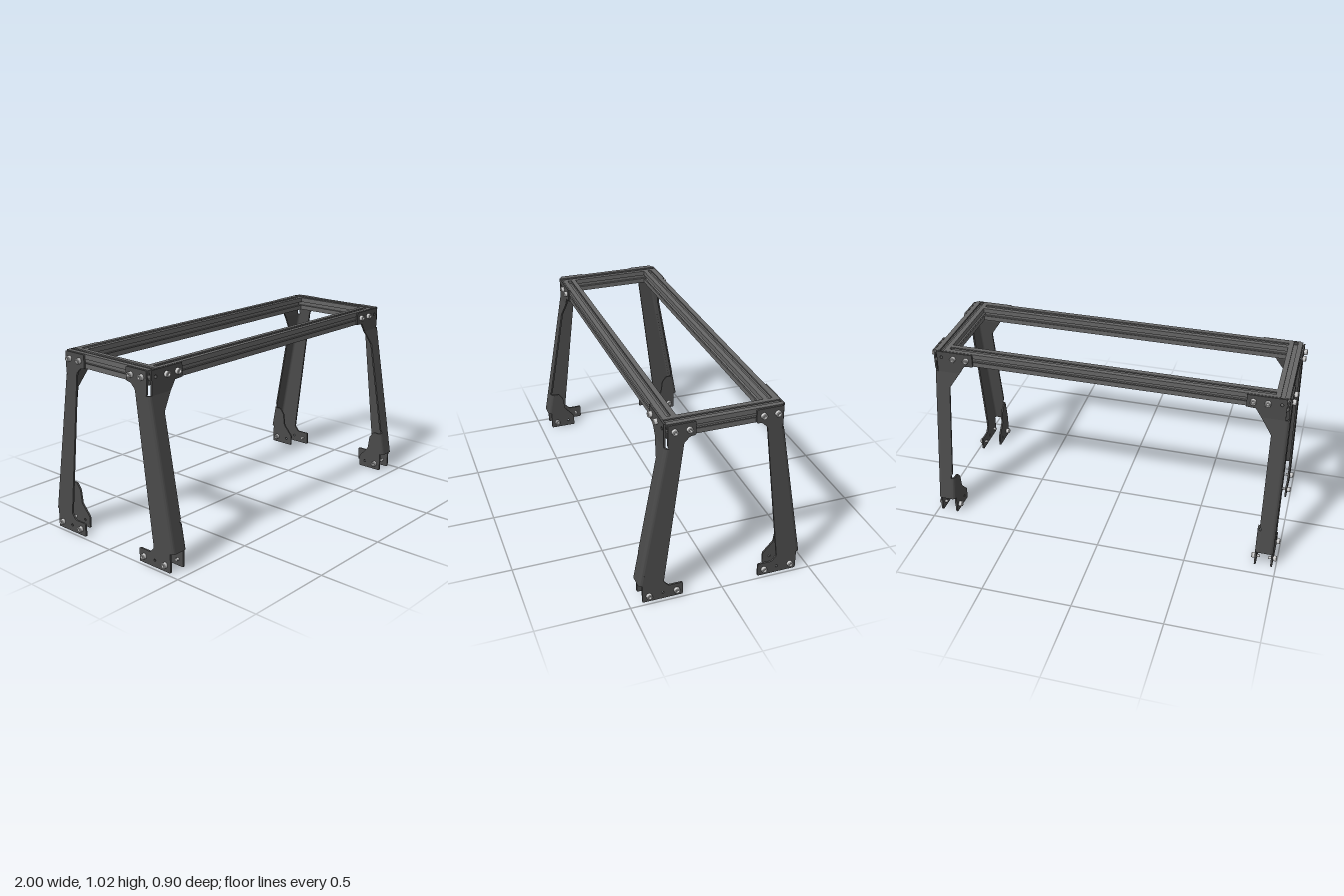
import * as THREE from 'three';
import { toCreasedNormals } from 'three/addons/utils/BufferGeometryUtils.js';

const T = 0.01;        // sheet thickness
const BAR_Y = 0.98;    // height of the bar centres
const BEND_Y = 0.89;   // leg tilts outward below this height
const FOOT_Y = 0.105;  // lower end of the front flange
const R = 0.02;        // outer radius of the sheet bends

const sheetMat = new THREE.MeshStandardMaterial({ color: 0x4a4a4a });
const barMat = new THREE.MeshStandardMaterial({ color: 0x666666 });
const boltMat = new THREE.MeshStandardMaterial({ color: 0xcccccc });

function mesh(name, geometry, material) {
  const m = new THREE.Mesh(toCreasedNormals(geometry, 0.6), material);
  m.name = name;
  return m;
}

// Outline with each corner softened by radius r
function roundedShape(points, r) {
  const p = points.map(([x, y]) => new THREE.Vector2(x, y));
  const shape = new THREE.Shape();
  p.forEach((c, i) => {
    const toward = (q) => c.clone().add(q.clone().sub(c).setLength(Math.min(r, q.distanceTo(c) * 0.4)));
    const a = toward(p[(i + p.length - 1) % p.length]);
    const b = toward(p[(i + 1) % p.length]);
    if (i === 0) shape.moveTo(a.x, a.y); else shape.lineTo(a.x, a.y);
    shape.quadraticCurveTo(c.x, c.y, b.x, b.y);
  });
  return shape;
}

function sheet(points, { r = 0.0005, holes = [], depth = T } = {}) {
  const shape = roundedShape(points, r);
  for (const [x, y, radius] of holes) {
    shape.holes.push(new THREE.Path().absarc(x, y, radius, 0, Math.PI * 2, true));
  }
  return new THREE.ExtrudeGeometry(shape, { depth, bevelEnabled: false, curveSegments: 6 });
}

// Sheet drawn in (z, y), with its outer face at x
function sideSheet(points, x, options) {
  return sheet(points, options).rotateY(-Math.PI / 2).translate(x, 0, 0);
}

// Front face of the leg at height y; lean() shears a geometry to follow it
const frontZ = (y) => 0.31 + Math.max(0, BEND_Y - y) * 0.178;
function lean(geometry) {
  const pos = geometry.attributes.position;
  for (let i = 0; i < pos.count; i++) pos.setZ(i, pos.getZ(i) + frontZ(pos.getY(i)));
  return geometry;
}

// Quarter-round fold joining the front flange to a side sheet
function fold(cx, a0, a1, y0, y1) {
  const shape = new THREE.Shape();
  shape.absarc(cx, R, R, a0, a1, a1 < a0);
  shape.absarc(cx, R, R - T, a1, a0, a1 > a0);
  const g = new THREE.ExtrudeGeometry(shape, { depth: y1 - y0, bevelEnabled: false, curveSegments: 6 });
  return lean(g.rotateX(-Math.PI / 2).translate(0, y0, 0));
}

// Socket-head bolt pointing along +y, head seated at y = 0
const boltGeometry = new THREE.LatheGeometry([
  [0, -0.026], [0.008, -0.026], [0.008, 0], [0.0155, 0], [0.0155, 0.017],
  [0.013, 0.02], [0.008, 0.02], [0.008, 0.008], [0, 0.008],
].map(([x, y]) => new THREE.Vector2(x, y)), 18);

function bolt(name, position, direction) {
  const b = mesh(name, boltGeometry, boltMat);
  b.position.set(...position);
  b.quaternion.setFromUnitVectors(new THREE.Vector3(0, 1, 0), new THREE.Vector3(...direction));
  return b;
}

// Slotted square bar with a centre bore, running along z
function slottedBar(length) {
  const h = 0.0375;
  const side = [[h, h], [0.011, h], [0.011, 0.0305], [0.022, 0.0305], [0.012, 0.018],
    [-0.012, 0.018], [-0.022, 0.0305], [-0.011, 0.0305], [-0.011, h]];
  const outline = [];
  for (let k = 0; k < 4; k++) {
    for (const [x, y] of side) {
      outline.push(new THREE.Vector2(x, y).rotateAround(new THREE.Vector2(), k * Math.PI / 2));
    }
  }
  const shape = new THREE.Shape(outline);
  shape.holes.push(new THREE.Path().absarc(0, 0, 0.01, 0, Math.PI * 2, true));
  return new THREE.ExtrudeGeometry(shape, { depth: length, bevelEnabled: false, curveSegments: 8 })
    .translate(0, 0, -length / 2);
}

// Front left leg; the other three are mirrored from it
function createLeg() {
  const leg = new THREE.Group();

  // Outer side sheet with top bracket and foot
  leg.add(mesh('outerSideSheet', sideSheet([
    [0.155, 1.016], [0.155, 0.943], [0.185, 0.94], [0.215, 0.91], [0.315, 0.105], [0.288, 0.075],
    [0.21, 0.075], [0.21, 0], [0.43, 0], [0.43, FOOT_Y], [0.29, BEND_Y], [0.297, 0.9], [0.297, 1.016],
  ], 0.98, { r: 0.008, holes: [[0.32, 0.037, 0.007]] }), sheetMat));

  // Short inner foot sheet
  leg.add(mesh('innerFootSheet', sideSheet([
    [0.28, 0], [0.43, 0], [0.43, FOOT_Y], [frontZ(0.24) - R, 0.24], [0.375, 0.24],
    [0.348, 0.205], [0.338, 0.13], [0.28, 0.065],
  ], 0.89, { r: 0.006, holes: [[0.32, 0.037, 0.007]] }), sheetMat));

  // Upright bracket at the top of the front flange
  leg.add(mesh('frontBracket', lean(sheet([
    [0.75, 1.016], [0.75, 0.943], [0.8, 0.94], [0.832, BEND_Y], [0.957, BEND_Y], [0.957, 1.016],
  ], { holes: [[0.93, BAR_Y, 0.009]] }).translate(0, 0, -T)), sheetMat));

  // Tilted front flange
  leg.add(mesh('frontFlange', lean(sheet([
    [0.96, FOOT_Y], [0.96, BEND_Y], [0.832, BEND_Y], [0.892, 0.8], [0.892, 0.265],
    [0.9, 0.25], [0.9, FOOT_Y],
  ]).translate(0, 0, -T)), sheetMat));

  // Folded corners
  leg.add(mesh('outerFold', fold(0.96, 0, -Math.PI / 2, FOOT_Y, BEND_Y), sheetMat));
  leg.add(mesh('innerFold', fold(0.9, Math.PI, Math.PI * 1.5, FOOT_Y, 0.24), sheetMat));

  // Bolts
  for (const x of [0.86, 0.785]) leg.add(bolt('frontBolt', [x, BAR_Y, 0.31], [0, 0, 1]));
  for (const z of [0.265, 0.19]) leg.add(bolt('sideBolt', [0.98, BAR_Y, z], [1, 0, 0]));
  for (const z of [0.395, 0.245]) leg.add(bolt('footBolt', [0.98, 0.037, z], [1, 0, 0]));
  leg.add(bolt('innerFootBolt', [0.88, 0.037, 0.395], [-1, 0, 0]));
  return leg;
}

export function createModel() {
  const model = new THREE.Group();
  model.name = 'rackFrame';

  // Rectangular top frame
  for (const s of [1, -1]) {
    const long = mesh(s > 0 ? 'frontBar' : 'backBar', slottedBar(1.785).rotateY(Math.PI / 2), barMat);
    long.position.set(0, BAR_Y, s * 0.2625);
    const short = mesh(s > 0 ? 'leftBar' : 'rightBar', slottedBar(0.6), barMat);
    short.position.set(s * 0.93, BAR_Y, 0);
    model.add(long, short);
  }

  // Four mirrored legs
  for (const sx of [1, -1]) {
    for (const sz of [1, -1]) {
      const leg = createLeg();
      leg.name = (sz > 0 ? 'front' : 'back') + (sx > 0 ? 'Left' : 'Right') + 'Leg';
      leg.scale.set(sx, 1, sz);
      model.add(leg);
    }
  }
  return model;
}
